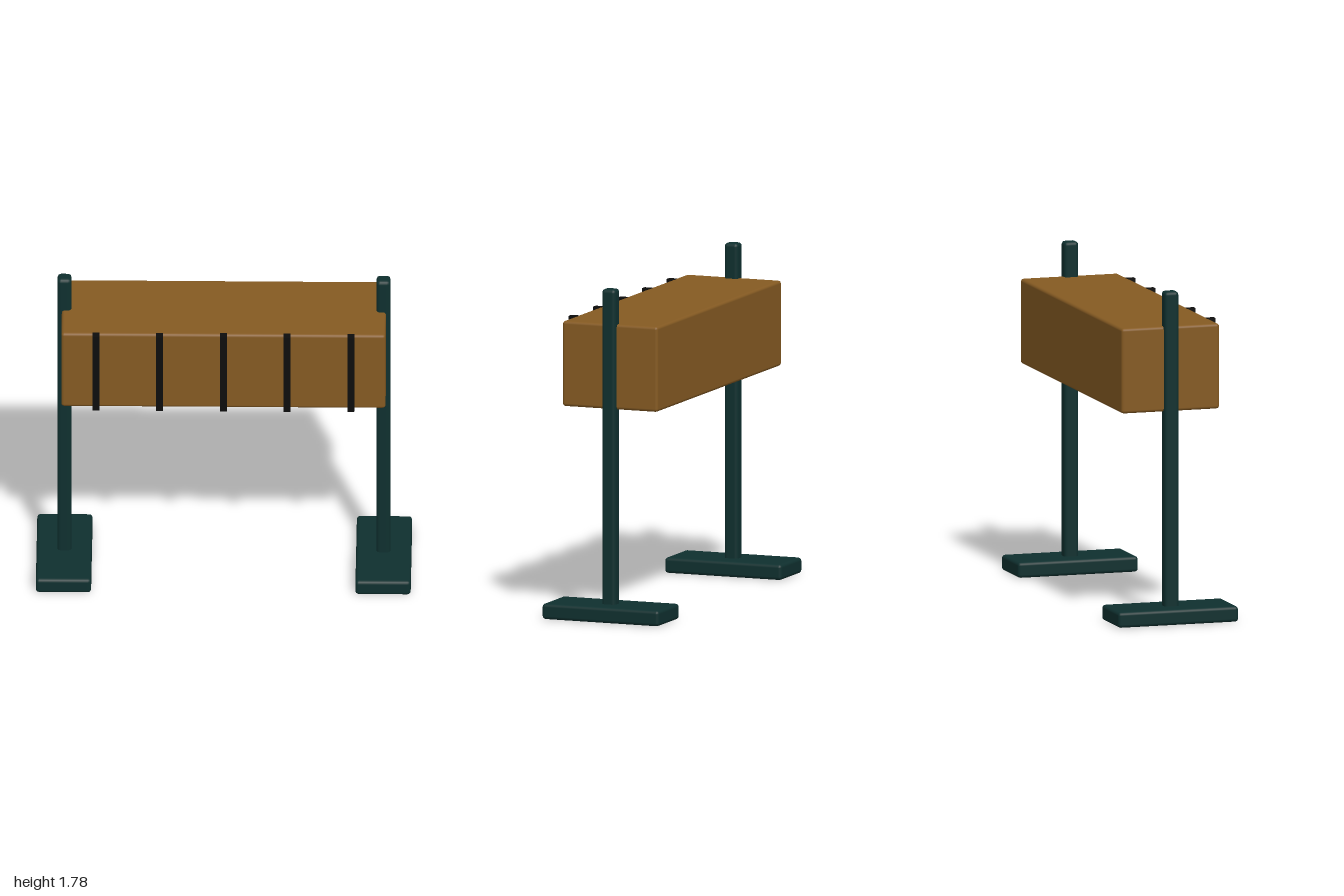
import * as THREE from 'three';
import { RoundedBoxGeometry } from 'three/addons/geometries/RoundedBoxGeometry.js';

const material = (name, color) => {
  const m = new THREE.MeshStandardMaterial({ color });
  m.name = name;
  return m;
};

export function createModel() {
  const wood = material('brown wood', 0x855a22);
  const green = material('dark green', 0x0f302f);
  const black = material('black', 0x0d0d0d);

  const model = new THREE.Group();
  model.name = 'raisedBoxOnPosts';

  // Box with softened edges, placed by its centre
  const addBox = (name, mat, size, position, radius) => {
    const geometry = radius
      ? new RoundedBoxGeometry(...size, 2, radius)
      : new THREE.BoxGeometry(...size);
    const mesh = new THREE.Mesh(geometry, mat);
    mesh.name = name;
    mesh.position.set(...position);
    model.add(mesh);
  };

  // Long wooden body
  addBox('body', wood, [1.73, 0.46, 0.55], [0, 1.365, 0], 0.016);

  // Upright strips across the front face
  for (let i = -2; i <= 2; i++) {
    addBox('frontStrip', black, [0.037, 0.464, 0.045], [i * 0.34, 1.365, 0.284], 0);
  }

  // Posts and flat feet, one pair per side
  for (const [side, s] of [['left', 1], ['right', -1]]) {
    addBox(side + 'Post', green, [0.075, 1.745, 0.08], [s * 0.851, 0.9125, 0], 0.02);
    addBox(side + 'Foot', green, [0.295, 0.084, 0.675], [s * 0.8525, 0.042, 0], 0.018);
  }

  return model;
}
